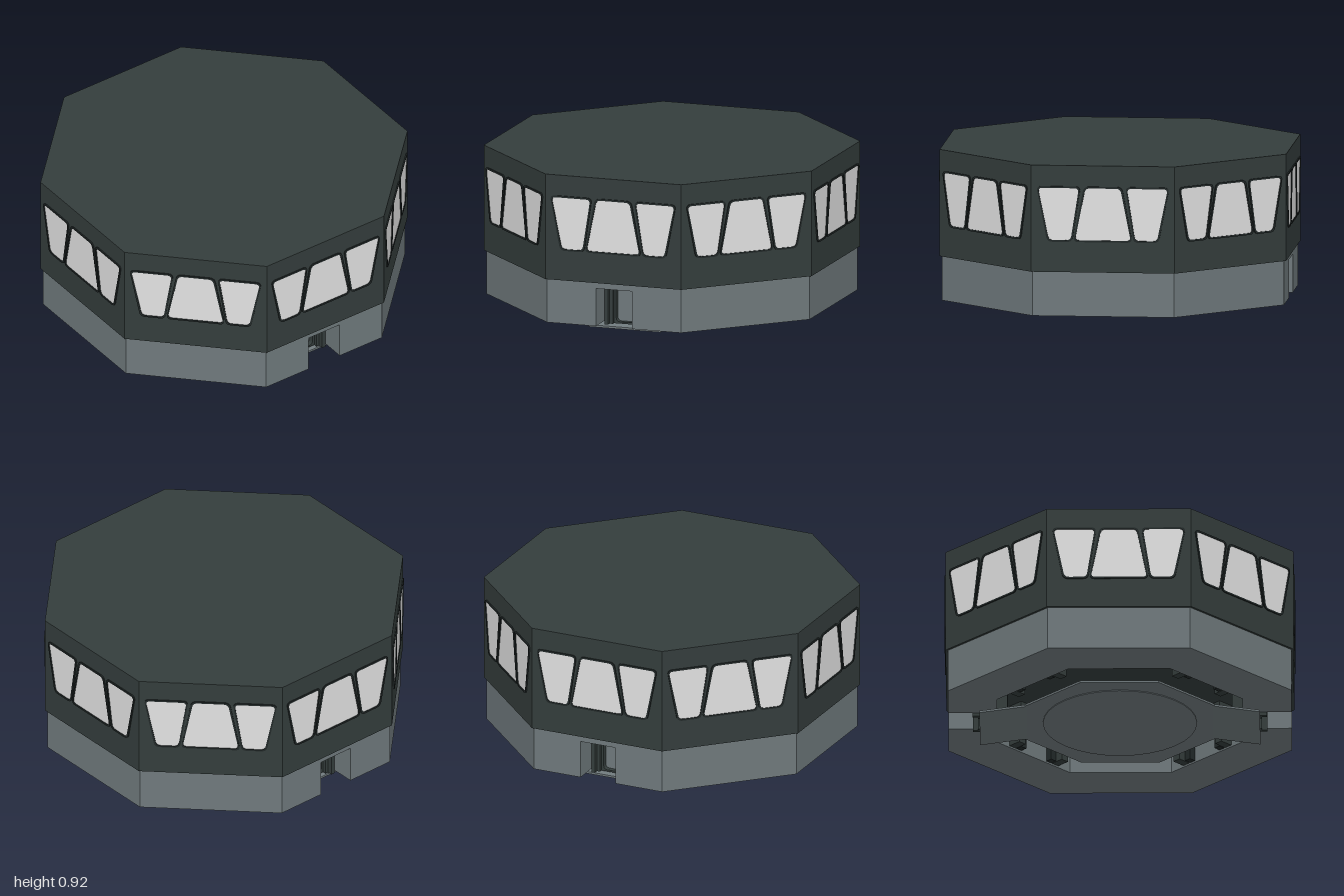
import * as THREE from 'three';

const mat = (name, color) => {
  const m = new THREE.MeshStandardMaterial({ color });
  m.name = name;
  return m;
};

export function createModel() {
  const hull = mat('dark hull', 0x343d3c);
  const grey = mat('base grey', 0x6f797c);
  const trim = mat('window trim', 0x222929);
  const glass = mat('pale glass', 0xe2e2e2);
  const model = new THREE.Group();
  model.name = 'octagonalCabin';

  const add = (name, geometry, material, parent = model) => {
    const mesh = new THREE.Mesh(geometry, material);
    mesh.name = name;
    parent.add(mesh);
    return mesh;
  };
  const box = (name, size, pos, material, parent) =>
    add(name, new THREE.BoxGeometry(...size), material, parent).position.set(...pos);
  const vecs = (pts) => pts.map(([x, y]) => new THREE.Vector2(x, y));
  const extrude = (shape, depth) =>
    new THREE.ExtrudeGeometry(shape, { depth, bevelEnabled: false, curveSegments: 5 });
  // Footprint raised from y0 to y1
  const slab = (shape, y0, y1) => extrude(shape, y1 - y0).rotateX(-Math.PI / 2).translate(0, y0, 0);
  // Octagon with flat sides facing the axes
  const octagon = (apothem) => {
    const r = apothem / Math.cos(Math.PI / 8), pts = [];
    for (let i = 0; i < 8; i++) {
      const a = Math.PI / 8 + (i * Math.PI) / 4;
      pts.push([r * Math.cos(a), r * Math.sin(a)]);
    }
    return new THREE.Shape(vecs(pts));
  };
  // Polygon with rounded corners, grown outward from its centre by g
  const rounded = (pts, radius, g = 0, Type = THREE.Shape) => {
    const cx = pts.reduce((s, p) => s + p[0], 0) / pts.length;
    const cy = pts.reduce((s, p) => s + p[1], 0) / pts.length;
    const p = vecs(pts.map(([x, y]) => [x + g * Math.sign(x - cx), y + g * Math.sign(y - cy)]));
    const s = new Type();
    p.forEach((c, i) => {
      const prev = p[(i + p.length - 1) % p.length], next = p[(i + 1) % p.length];
      const a = c.clone().add(prev.clone().sub(c).setLength(radius));
      const b = c.clone().add(next.clone().sub(c).setLength(radius));
      if (i) s.lineTo(a.x, a.y); else s.moveTo(a.x, a.y);
      s.quadraticCurveTo(c.x, c.y, b.x, b.y);
    });
    s.closePath();
    return s;
  };

  // Upper cabin with flat roof
  add('upperCabin', slab(octagon(0.993), 0.305, 0.92), hull);

  // Three framed windows on each of the eight walls
  const side = [[-0.31, 0.49], [-0.185, 0.49], [-0.138, 0.79], [-0.372, 0.79]];
  const middle = [[-0.16, 0.49], [0.16, 0.49], [0.1, 0.79], [-0.1, 0.79]];
  const otherSide = side.map(([x, y]) => [-x, y]).reverse();
  for (let i = 0; i < 8; i++) {
    const wall = new THREE.Group();
    wall.name = 'windowWall' + (i + 1);
    wall.rotation.y = (i * Math.PI) / 4;
    for (const pts of [side, middle, otherSide]) {
      const frame = rounded(pts, 0.03, 0.01);
      frame.holes.push(rounded(pts, 0.025, 0, THREE.Path));
      add('windowFrame', extrude(frame, 0.008).translate(0, 0, 0.992), trim, wall);
      add('windowPane', extrude(rounded(pts, 0.025), 0.005).translate(0, 0, 0.99), glass, wall);
    }
    model.add(wall);
  }

  // Lower ring in two halves, leaving an entrance gap front and back
  const o = 0.98, i = 0.7, t = Math.tan(Math.PI / 8), d = 0.11;
  const half = new THREE.Shape(vecs([
    [d, -o], [o * t, -o], [o, -o * t], [o, o * t], [o * t, o], [d, o],
    [d, i], [i * t, i], [i, i * t], [i, -i * t], [i * t, -i], [d, -i],
  ]));
  for (const turn of [0, Math.PI])
    add('lowerRing', slab(half, 0.05, 0.305).rotateY(turn), grey);

  // Floor plate with a shallow disc beneath
  add('floorPlate', slab(octagon(0.54), 0.038, 0.05), grey);
  add('floorDisc', new THREE.CylinderGeometry(0.44, 0.44, 0.006, 32).translate(0, 0.036, 0), grey);

  // Entrances: lintel, stepped door frame, door and sloping ramp
  const rampProfile = new THREE.Shape(vecs([[0.53, 0.038], [0.8, 0], [0.8, 0.012], [0.53, 0.05]]));
  const doorPts = [[-0.055, 0.04], [0.055, 0.04], [0.055, 0.265], [-0.055, 0.265]];
  for (const turn of [0, Math.PI]) {
    const entrance = new THREE.Group();
    entrance.name = turn ? 'backEntrance' : 'frontEntrance';
    entrance.rotation.y = turn;
    box('lintel', [2 * d, 0.035, 0.28], [0, 0.2875, 0.84], grey, entrance);
    for (const s of [-1, 1]) {
      box('outerPost', [0.022, 0.24, 0.2], [s * 0.098, 0.15, 0.74], hull, entrance);
      box('innerPost', [0.02, 0.24, 0.15], [s * 0.078, 0.15, 0.735], hull, entrance);
    }
    const surround = rounded([[-0.07, 0.03], [0.07, 0.03], [0.07, 0.27], [-0.07, 0.27]], 0.01);
    surround.holes.push(rounded(doorPts, 0.025, 0, THREE.Path));
    add('doorSurround', extrude(surround, 0.06).translate(0, 0, 0.73), hull, entrance);
    add('door', extrude(rounded(doorPts, 0.025), 0.02).translate(0, 0, 0.74), grey, entrance);
    add('ramp', extrude(rampProfile, 0.44).rotateY(-Math.PI / 2).translate(0.22, 0, 0), grey, entrance);
    model.add(entrance);
  }

  // Dark frames on the diagonal walls inside the ring
  for (let k = 0; k < 4; k++) {
    const bay = new THREE.Group();
    bay.name = 'innerBay' + (k + 1);
    bay.rotation.y = Math.PI / 4 + (k * Math.PI) / 2;
    box('bayHeader', [0.4, 0.05, 0.1], [0, 0.28, 0.65], hull, bay);
    for (const s of [-1, 1]) {
      box('bayPost', [0.05, 0.24, 0.08], [s * 0.17, 0.18, 0.66], hull, bay);
      box('bayInnerPost', [0.04, 0.24, 0.04], [s * 0.12, 0.18, 0.68], trim, bay);
    }
    model.add(bay);
  }
  return model;
}
